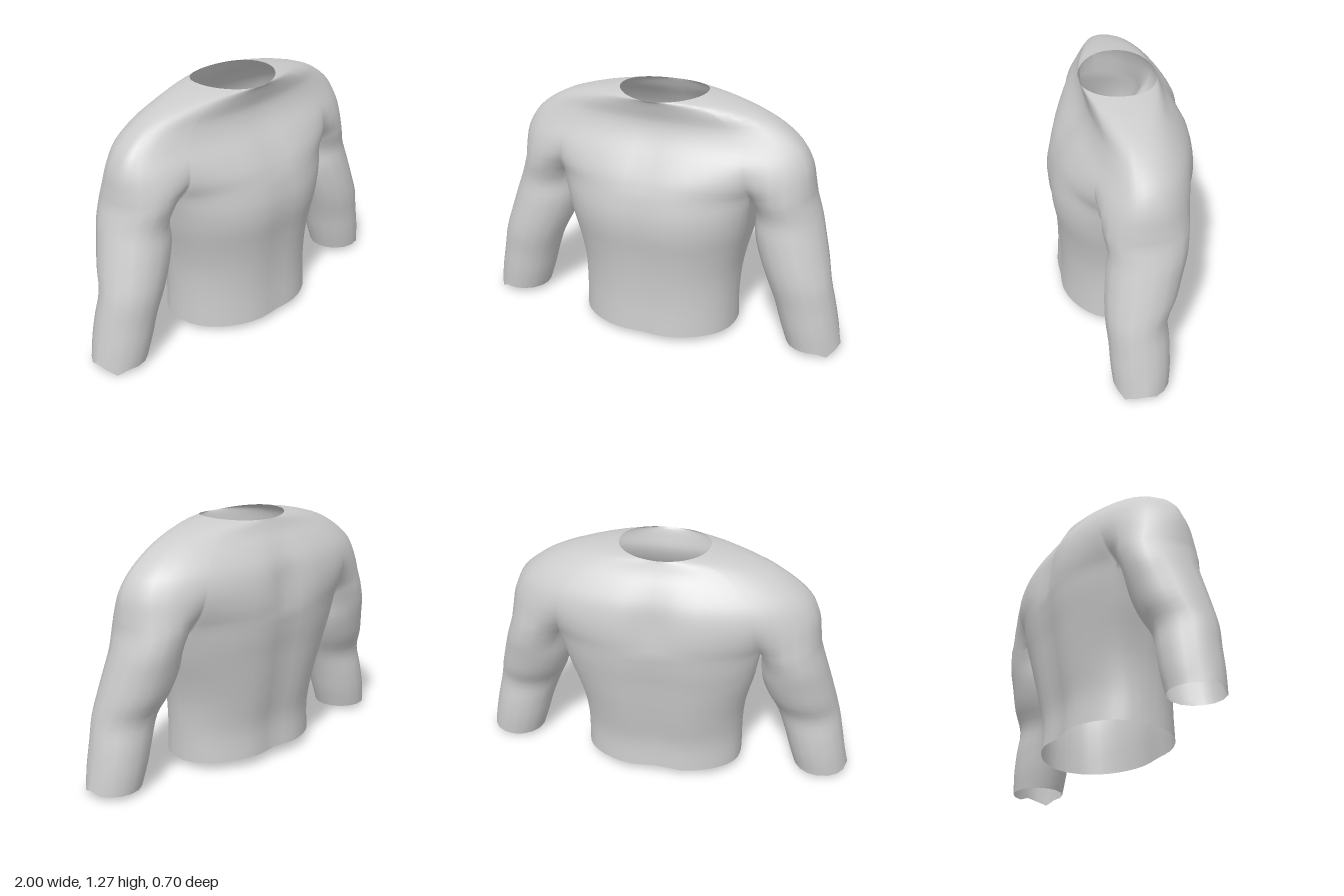
import * as THREE from 'three';
import { mergeGeometries, mergeVertices } from 'three/addons/utils/BufferGeometryUtils.js';

const V = (x, y, z) => new THREE.Vector3(x, y, z);
const lerp = THREE.MathUtils.lerp;
const COLS = 10;      // torso columns from centre to armpit
const ARM = 16;       // points around a sleeve
const groove = x => Math.exp(-((x / 0.1) ** 2));

// Smooth skin through closed rings, listed bottom to top, counter-clockwise from above
function loft(rings, sub = 3) {
  const n = rings[0].length, rows = (rings.length - 1) * sub;
  const pos = [], idx = [];
  for (let i = 0; i < n; i++) {
    const column = new THREE.CatmullRomCurve3(rings.map(r => r[i])).getPoints(rows);
    column.forEach(p => pos.push(p.x, p.y, p.z));
  }
  const at = (i, r) => (i % n) * (rows + 1) + r;
  for (let i = 0; i < n; i++) for (let r = 0; r < rows; r++) {
    const a = at(i, r), b = at(i + 1, r), c = at(i + 1, r + 1), d = at(i, r + 1);
    idx.push(a, b, c, a, c, d);
  }
  const g = new THREE.BufferGeometry();
  g.setAttribute('position', new THREE.Float32BufferAttribute(pos, 3));
  g.setIndex(idx);
  return g;
}

// Mirror a half ring (front centre -> left side -> back centre) into a full ring
const flip = p => V(-p.x, p.y, p.z);
const closeRing = half => [...half, ...half.slice(1, -1).reverse().map(flip)];

// Half of a torso section; ef and eb are the front and back of its flat side
function torsoHalf([y, w, zf, zb, ef, eb, pow]) {
  const face = (z, e, dent) => Array.from({ length: COLS + 1 }, (_, i) => {
    const u = Math.sin(i / COLS * Math.PI / 2), x = u * w;
    const depth = Math.max(0, 1 - u * u) ** pow;
    return V(x, y, e + (z - e) * depth * (1 - dent * groove(x)));
  });
  const front = face(zf, ef, 0.06), back = face(zb, eb, 0.13).reverse();
  const side = [0.25, 0.5, 0.75].map(t => V(w, y, lerp(ef, eb, t)));
  return [...front, ...side, ...back];
}

// Sleeve section, from its outer side round through the front
function armRing([y, inner, outer, zf, zb]) {
  return Array.from({ length: ARM }, (_, j) => {
    const a = j / ARM * Math.PI * 2;
    return V((inner + outer) / 2 + (outer - inner) / 2 * Math.cos(a), y,
      (zf + zb) / 2 + (zf - zb) / 2 * Math.sin(a));
  });
}

export function createModel() {
  const group = new THREE.Group();
  const fabric = new THREE.MeshStandardMaterial({ color: 0xcccccc, side: THREE.DoubleSide });
  fabric.name = 'light grey fabric';

  // Armpit level, where the torso and sleeves meet along a shared line
  const armTop = armRing([0.8, 0.47, 0.81, 0.18, -0.24]);
  const pitX = armTop[6].x, ef = armTop[6].z, eb = armTop[10].z;
  [7, 8, 9].forEach((j, k) => armTop[j].set(pitX, 0.8, lerp(ef, eb, (k + 1) / 4)));
  const torsoTop = torsoHalf([0.8, pitX, 0.345, -0.355, ef, eb, 0.65]);

  // Lower torso: y, half width, front, back, side front, side back, roundness
  const lower = [
    [0.03, 0.42, 0.335, -0.275, 0.03, -0.01, 0.48],
    [0.2, 0.42, 0.325, -0.27, 0.03, -0.01, 0.48],
    [0.35, 0.43, 0.33, -0.295, 0.03, -0.03, 0.48],
    [0.48, 0.455, 0.345, -0.315, 0.04, -0.06, 0.48],
    [0.6, 0.485, 0.365, -0.33, 0.06, -0.1, 0.5],
    [0.7, 0.503, 0.365, -0.345, 0.09, -0.14, 0.55],
  ].map(torsoHalf);
  lower[0].forEach(p => { if (p.z < 0) p.y += 0.02 * Math.min(1, -p.z / 0.25); });
  const torso = loft([...lower, torsoTop].map(closeRing));

  // Sleeves: y, inner x, outer x, front, back
  const sleeveRings = [
    [0.025, 0.715, 0.995, 0.165, -0.11],
    [0.13, 0.68, 0.98, 0.175, -0.12],
    [0.25, 0.645, 0.957, 0.18, -0.12],
    [0.37, 0.6, 0.932, 0.19, -0.115],
    [0.48, 0.55, 0.905, 0.187, -0.165],
    [0.6, 0.513, 0.872, 0.175, -0.2],
    [0.7, 0.512, 0.842, 0.162, -0.225],
  ].map(armRing);
  // Uneven cuff
  sleeveRings[0][0].x = 1;
  sleeveRings[0][0].y = 0.045;
  sleeveRings[0][2].y = 0;
  sleeveRings.push(armTop);
  const leftSleeve = loft(sleeveRings.map(r => [...r].reverse()));
  const rightSleeve = loft(sleeveRings.map(r => r.map(flip)));

  // Outline that runs round the chest, both sleeves and the back at armpit level
  const chain = [
    ...torsoTop.slice(0, COLS), ...armTop.slice(0, 7).reverse(),
    ...armTop.slice(10).reverse(), ...torsoTop.slice(-COLS),
  ];
  const frontCount = COLS + 7;

  // Shoulders up to the neck: y, half width, front, back, rounding, groove
  const upper = [
    [0.88, 0.8, 0.315, -0.358, 0.55, 1],
    [0.97, 0.785, 0.26, -0.348, 0.9, 0.9],
    [1.06, 0.74, 0.195, -0.322, 1, 0.6],
    [1.14, 0.65, 0.166, -0.272, 1, 0.3],
    [1.2, 0.54, 0.174, -0.225, 1, 0],
    [1.245, 0.39, 0.187, -0.202, 1, 0],
    [1.262, 0.23, 0.195, -0.195, 1, 0],
  ].map(([y, w, zf, zb, k, dent], row) => chain.map((p, i) => {
    const isFront = i < frontCount, u = Math.min(1, p.x / 0.81);
    const ratio = p.z / (isFront ? 0.345 : -0.355);
    const round = (1 - u * u) ** (isFront ? 0.5 : 0.43)
      * (1 - dent * (isFront ? 0.06 : 0.13) * groove(p.x));
    const lift = row === 6 ? 0.012 * u * u - (isFront ? 0.008 * (1 - u) : 0) : 0;
    return V(u * w, y + lift, lerp(ratio, round, k) * (isFront ? zf : zb));
  }));
  const shoulders = loft([chain, ...upper].map(closeRing));

  // Weld the sections so the shading runs smoothly across them
  const skin = mergeVertices(mergeGeometries([torso, leftSleeve, rightSleeve, shoulders]), 1e-4);
  skin.computeVertexNormals();
  const shirt = new THREE.Mesh(skin, fabric);
  shirt.name = 'shirtShell';
  group.add(shirt);
  return group;
}
